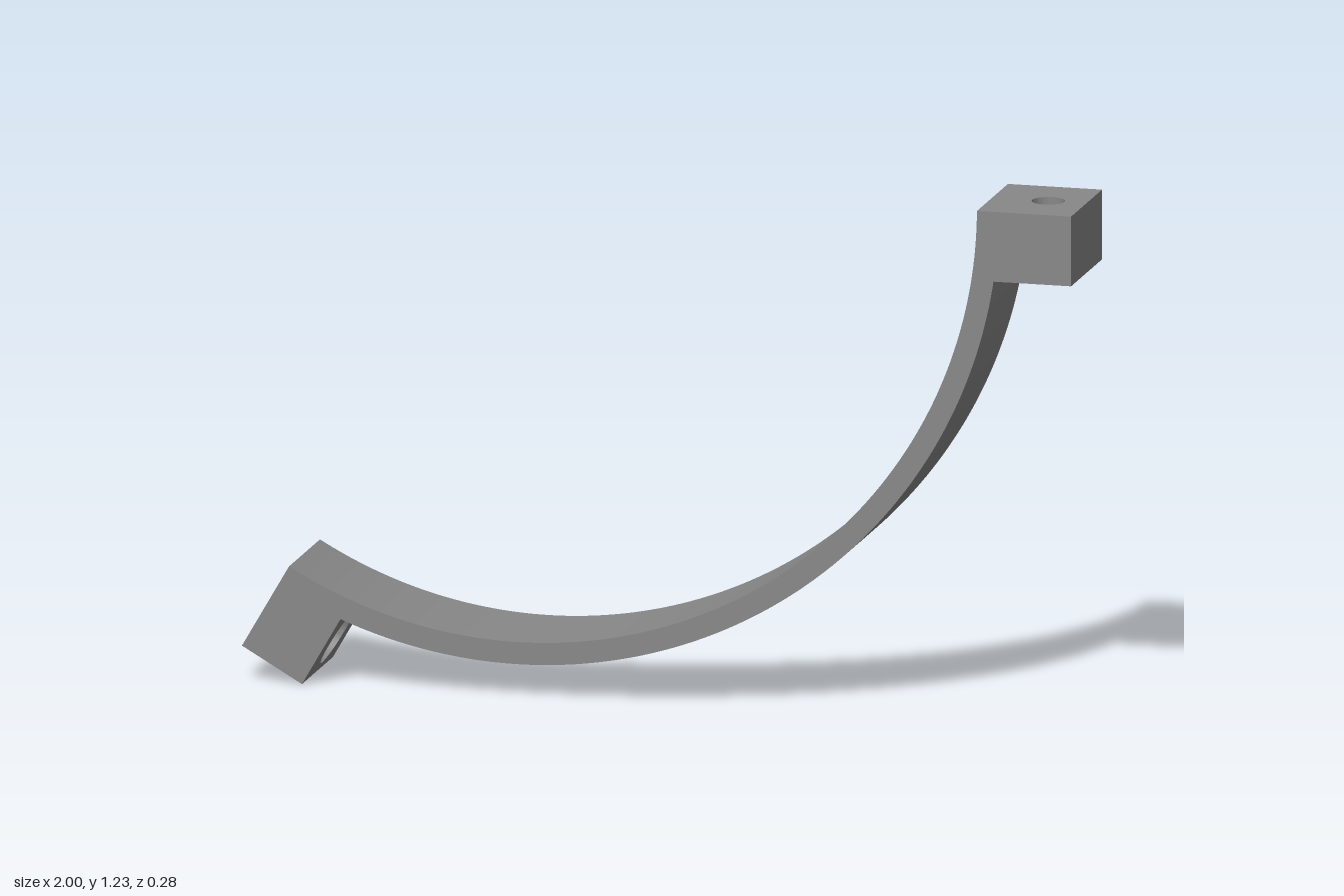
import * as THREE from 'three';
import { toCreasedNormals } from 'three/addons/utils/BufferGeometryUtils.js';

const CX = -0.333, CY = 1.2377;             // centre of the arc
const R_IN = 1.106, R_OUT = 1.159, R_LUG = 1.333;
const HALF_W = 0.142, LUG_T = 0.167, GAP = 0.0065;
const BOLT_R = 1.241, HOLE = 0.039, BORE = 0.068, BORE_DEPTH = 0.045;
const START = THREE.MathUtils.degToRad(240);

const material = new THREE.MeshStandardMaterial({ color: 0x888888 });

function extrude(shape, depth, curveSegments) {
  return new THREE.ExtrudeGeometry(shape, { depth, bevelEnabled: false, curveSegments });
}

function makeMesh(name, geo) {
  const mesh = new THREE.Mesh(toCreasedNormals(geo, 0.5), material);
  mesh.name = name;
  return mesh;
}

// Angle at which a circle of this radius meets the flat upper end
const endAngle = (radius) => 2 * Math.PI - Math.asin(GAP / radius);

// Drilled block: x runs radially, z across the width, from y0 up to y1
function drilledBlock(name, holeRadius, y0, y1) {
  const s = new THREE.Shape();
  s.moveTo(1.13, -HALF_W);
  s.lineTo(R_LUG, -HALF_W);
  s.lineTo(R_LUG, HALF_W);
  s.lineTo(1.13, HALF_W);
  s.closePath();
  const hole = new THREE.Path();
  hole.absarc(BOLT_R, 0, holeRadius, 0, Math.PI * 2, true);
  s.holes.push(hole);
  const geo = extrude(s, y1 - y0, 24);
  geo.rotateX(Math.PI / 2).translate(0, y1, 0);
  return makeMesh(name, geo);
}

export function createModel() {
  const model = new THREE.Group();
  model.name = 'clampHalf';

  // Everything is built around the arc centre
  const clamp = new THREE.Group();
  clamp.name = 'clamp';
  clamp.position.set(CX, CY, 0);
  model.add(clamp);

  // Curved strap
  const arc = new THREE.Shape();
  arc.absarc(0, 0, R_OUT, START, endAngle(R_OUT), false);
  arc.absarc(0, 0, R_IN, endAngle(R_IN), START, true);
  arc.closePath();
  const strap = extrude(arc, HALF_W * 2, 60);
  strap.translate(0, 0, -HALF_W);
  clamp.add(makeMesh('strap', strap));

  // Upper lug with a plain bolt hole
  clamp.add(drilledBlock('upperLug', HOLE, -GAP - LUG_T, -GAP));

  // Lower lug with a bolt hole and a counterbore on its inner side
  const lower = new THREE.Group();
  lower.name = 'lowerLug';
  lower.rotation.z = START;
  lower.add(drilledBlock('boltHoleBlock', HOLE, 0, LUG_T - BORE_DEPTH));
  lower.add(drilledBlock('counterboreBlock', BORE, LUG_T - BORE_DEPTH, LUG_T));
  clamp.add(lower);

  return model;
}
